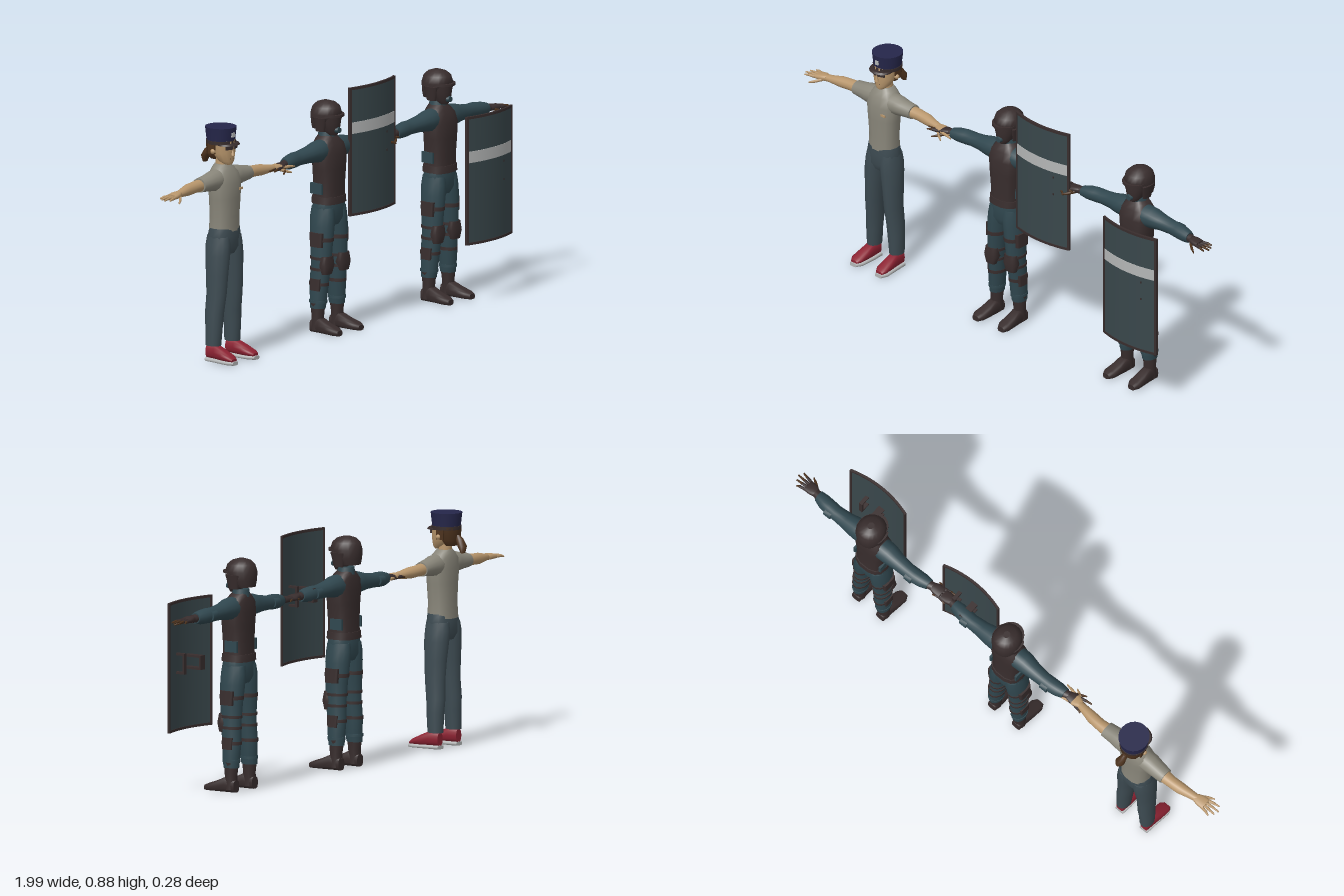
import * as THREE from 'three';

const mat = (name, color) => Object.assign(new THREE.MeshStandardMaterial({ color }), { name });
const M = {
  navy: mat('navy cloth', 0x25264a), skin: mat('skin', 0xb8966c), shirt: mat('grey shirt', 0x89867a),
  jeans: mat('slate trousers', 0x3d4b52), red: mat('red canvas', 0x8c2232), white: mat('pale grey', 0xb4b6b6),
  uniform: mat('teal uniform', 0x30474f), armor: mat('dark armour', 0x382d2d), hair: mat('brown hair', 0x4c321d),
  shield: mat('shield panel', 0x39474b),
};

function add(parent, name, geo, material, x = 0, y = 0, z = 0) {
  const m = new THREE.Mesh(geo, material);
  m.name = name;
  m.position.set(x, y, z);
  parent.add(m);
  return m;
}
const box = (w, h, d) => new THREE.BoxGeometry(w, h, d);

// Closed skin over elliptical rings [t, a, b, ra, rb] with t rising along the axis;
// a, b are the centre and ra, rb the radii on the other two axes. p < 1 squares the rings.
function loft(axis, rings, p = 1, n = 14) {
  const pos = [], idx = [];
  const put = (t, a, b) => pos.push(...(axis === 'y' ? [a, t, b] : axis === 'x' ? [t, a, b] : [a, b, t]));
  const tri = (a, b, c) => (axis === 'y' ? idx.push(a, c, b) : idx.push(a, b, c));
  const pw = (v) => Math.sign(v) * Math.abs(v) ** p;
  const ring = ([t, a, b, ra, rb]) => {
    for (let i = 0; i < n; i++) {
      const q = (i / n) * Math.PI * 2;
      put(t, a + ra * pw(Math.cos(q)), b + rb * pw(Math.sin(q)));
    }
  };
  rings.forEach(ring);
  for (let j = 0; j < rings.length - 1; j++) {
    for (let i = 0; i < n; i++) {
      const a = j * n + i, b = j * n + ((i + 1) % n);
      tri(a, b, a + n);
      tri(b, b + n, a + n);
    }
  }
  // separate cap rings keep the ends crisp
  [rings[0], rings[rings.length - 1]].forEach((r, end) => {
    const s = pos.length / 3;
    ring(r);
    put(r[0], r[1], r[2]);
    for (let i = 0; i < n; i++) {
      const a = s + i, b = s + ((i + 1) % n);
      if (end) tri(a, b, s + n); else tri(b, a, s + n);
    }
  });
  const g = new THREE.BufferGeometry();
  g.setAttribute('position', new THREE.Float32BufferAttribute(pos, 3));
  g.setIndex(idx);
  g.computeVertexNormals();
  return g;
}

// Limb along x on side s
const armLoft = (s, rings, p, n) =>
  loft('x', s > 0 ? rings : rings.map(([t, ...r]) => [-t, ...r]).reverse(), p, n);
// Upright limb at side s
const legLoft = (s, rings, p) => loft('y', rings.map(([y, x, ...r]) => [y, s * x, ...r]), p);

function hand(parent, s, palm, tips) {
  add(parent, 'palm', armLoft(s, [[0.272, 0.657, -0.024, 0.012, 0.015], [0.292, 0.657, -0.022, 0.012, 0.022],
    [0.318, 0.655, -0.021, 0.009, 0.023]], 0.8), palm);
  [0, 1, 2, 3].forEach((i) => {
    const z = -0.038 + i * 0.0115, fan = (i - 1.5) * 0.006, end = [0.35, 0.364, 0.37, 0.36][i];
    add(parent, 'finger', armLoft(s, [[0.314, 0.655, z, 0.006, 0.006], [0.338, 0.655, z + fan * 0.5, 0.0055, 0.0055]], 1, 7), palm);
    add(parent, 'fingertip', armLoft(s, [[0.338, 0.655, z + fan * 0.5, 0.005, 0.005], [end, 0.652, z + fan, 0.003, 0.003]], 1, 7), tips);
  });
  add(parent, 'thumb', armLoft(s, [[0.284, 0.652, -0.008, 0.006, 0.007], [0.305, 0.644, 0.008, 0.006, 0.006],
    [0.325, 0.638, 0.02, 0.003, 0.003]], 1, 7), tips);
}

// Hips and trousers
const legRings = (cuff) => [
  [cuff, 0.055, -0.038, 0.025, 0.031], [0.13, 0.053, -0.036, 0.028, 0.034], [0.18, 0.05, -0.036, 0.029, 0.038],
  [0.25, 0.046, -0.03, 0.03, 0.041], [0.32, 0.043, -0.03, 0.033, 0.045], [0.39, 0.038, -0.031, 0.037, 0.05],
  [0.43, 0.034, -0.032, 0.036, 0.051], [0.46, 0.032, -0.032, 0.033, 0.047]];

function lowerBody(g, material, cuff) {
  add(g, 'hips', loft('y', [[0.395, 0, -0.032, 0.03, 0.04], [0.42, 0, -0.032, 0.064, 0.05],
    [0.46, 0, -0.031, 0.066, 0.05], [0.49, 0, -0.03, 0.06, 0.047]], 0.85), material);
  for (const s of [-1, 1]) add(g, 'trouserLeg', legLoft(s, legRings(cuff)), material);
}

const torsoRings = [[0.472, 0, -0.031, 0.06, 0.049], [0.53, 0, -0.03, 0.058, 0.046], [0.6, 0, -0.029, 0.064, 0.048],
  [0.655, 0, -0.03, 0.07, 0.049], [0.69, 0, -0.034, 0.064, 0.042], [0.71, 0, -0.038, 0.042, 0.034],
  [0.722, 0, -0.04, 0.027, 0.027]];

function civilian() {
  const g = new THREE.Group();
  g.name = 'civilian';
  lowerBody(g, M.jeans, 0.06);
  add(g, 'shirtBody', loft('y', torsoRings, 0.85), M.shirt);
  add(g, 'shirtTag', box(0.022, 0.008, 0.004), M.skin, 0.036, 0.63, 0.016);
  add(g, 'neck', loft('y', [[0.7, 0, -0.04, 0.024, 0.025], [0.75, 0, -0.042, 0.022, 0.024]]), M.skin);
  for (const s of [-1, 1]) {
    add(g, 'shortSleeve', armLoft(s, [[0.035, 0.668, -0.033, 0.04, 0.038], [0.07, 0.668, -0.033, 0.037, 0.037],
      [0.1, 0.666, -0.034, 0.031, 0.033], [0.14, 0.664, -0.036, 0.026, 0.03]]), M.shirt);
    add(g, 'bareArm', armLoft(s, [[0.12, 0.664, -0.036, 0.023, 0.026], [0.17, 0.662, -0.037, 0.021, 0.022],
      [0.21, 0.66, -0.034, 0.021, 0.022], [0.25, 0.658, -0.028, 0.015, 0.017], [0.28, 0.657, -0.024, 0.012, 0.014]]), M.skin);
    hand(g, s, M.skin, M.skin);
    // canvas shoe with pale sole and toe
    add(g, 'shoeSole', loft('z', [[-0.062, s * 0.057, 0.007, 0.018, 0.007], [-0.02, s * 0.057, 0.007, 0.022, 0.007],
      [0.045, s * 0.061, 0.007, 0.026, 0.007], [0.069, s * 0.062, 0.007, 0.015, 0.007]], 0.5), M.white);
    add(g, 'shoeUpper', loft('z', [[-0.06, s * 0.057, 0.036, 0.016, 0.024], [-0.02, s * 0.057, 0.038, 0.022, 0.027],
      [0.015, s * 0.059, 0.03, 0.024, 0.02], [0.05, s * 0.061, 0.022, 0.024, 0.011], [0.064, s * 0.062, 0.017, 0.015, 0.006]], 0.8), M.red);
    add(g, 'ear', new THREE.SphereGeometry(0.01, 8, 6), M.skin, s * 0.047, 0.772, -0.045);
  }
  // face
  add(g, 'face', loft('y', [[0.722, 0, -0.012, 0.014, 0.014], [0.735, 0, -0.022, 0.029, 0.028],
    [0.765, 0, -0.036, 0.043, 0.044], [0.81, 0, -0.042, 0.047, 0.05]]), M.skin);
  add(g, 'nose', new THREE.ConeGeometry(0.008, 0.026, 6), M.skin, 0, 0.77, 0.009);
  add(g, 'mouth', box(0.022, 0.004, 0.004), M.armor, 0, 0.745, 0.003);
  for (const s of [-1, 1]) {
    add(g, 'sunglassLens', box(0.028, 0.015, 0.006), M.armor, s * 0.017, 0.787, 0.006).rotation.y = s * 0.35;
    add(g, 'sideHair', box(0.008, 0.045, 0.03), M.hair, s * 0.045, 0.785, -0.052);
  }
  // hair and ponytail
  add(g, 'backHair', loft('y', [[0.738, 0, -0.068, 0.024, 0.02], [0.76, 0, -0.067, 0.041, 0.032],
    [0.805, 0, -0.062, 0.048, 0.039]]), M.hair);
  add(g, 'ponytail', loft('y', [[0.716, 0.008, -0.126, 0.01, 0.008], [0.74, 0.004, -0.12, 0.018, 0.017],
    [0.765, 0, -0.104, 0.012, 0.016], [0.778, 0, -0.095, 0.006, 0.01]]), M.hair);
  // flared cap
  add(g, 'capCrown', loft('y', [[0.798, 0, -0.047, 0.05, 0.052], [0.815, 0, -0.047, 0.051, 0.053],
    [0.858, 0, -0.047, 0.056, 0.058]], 1, 20), M.navy);
  add(g, 'capBand', loft('y', [[0.797, 0, -0.047, 0.0525, 0.0545], [0.81, 0, -0.047, 0.053, 0.055]], 1, 20), M.armor);
  add(g, 'capPeak', loft('y', [[0.795, 0, -0.012, 0.046, 0.039], [0.801, 0, -0.016, 0.045, 0.037]], 1, 20), M.armor);
  add(g, 'capBadge', box(0.014, 0.016, 0.006), M.white, 0, 0.832, 0.009);
  return g;
}

function officer() {
  const g = new THREE.Group();
  g.name = 'officer';
  lowerBody(g, M.uniform, 0.09);
  // armoured vest, belt and collar
  add(g, 'vest', loft('y', torsoRings.map(([y, a, b, rx, rz]) => [y, a, b, rx, rz + 0.002]), 0.75), M.armor);
  add(g, 'belt', loft('y', [[0.474, 0, -0.031, 0.065, 0.055], [0.5, 0, -0.031, 0.063, 0.053]], 0.8), M.armor);
  add(g, 'collar', loft('y', [[0.705, 0, -0.04, 0.034, 0.035], [0.735, 0, -0.04, 0.028, 0.031]]), M.uniform);
  for (const s of [-1, 1]) {
    add(g, 'vestSidePanel', box(0.009, 0.04, 0.052), M.uniform, s * 0.059, 0.53, -0.04);
    // sleeve, cuff and glove
    add(g, 'sleeve', armLoft(s, [[0.045, 0.668, -0.033, 0.042, 0.04], [0.08, 0.668, -0.033, 0.038, 0.039],
      [0.12, 0.665, -0.035, 0.03, 0.032], [0.17, 0.662, -0.036, 0.026, 0.028], [0.2, 0.661, -0.035, 0.028, 0.029],
      [0.235, 0.659, -0.031, 0.026, 0.027], [0.262, 0.658, -0.027, 0.02, 0.021]]), M.uniform);
    add(g, 'elbowPad', armLoft(s, [[0.175, 0.662, -0.046, 0.018, 0.024], [0.205, 0.661, -0.046, 0.018, 0.024]], 0.8), M.uniform);
    add(g, 'gloveCuff', armLoft(s, [[0.255, 0.658, -0.028, 0.016, 0.018], [0.278, 0.657, -0.024, 0.014, 0.016]]), M.armor);
    hand(g, s, M.armor, M.hair);
    // leg straps, pouches and knee pads
    for (const [y, h, x, z, rx, rz] of [[0.345, 0.014, 0.042, -0.03, 0.037, 0.049], [0.275, 0.01, 0.045, -0.03, 0.034, 0.045],
      [0.235, 0.01, 0.047, -0.031, 0.033, 0.043], [0.18, 0.012, 0.05, -0.036, 0.031, 0.04], [0.115, 0.01, 0.054, -0.037, 0.029, 0.035]])
      add(g, 'legStrap', legLoft(s, [[y - h / 2, x, z, rx, rz], [y + h / 2, x, z, rx, rz]]), y < 0.15 ? M.uniform : M.armor);
    add(g, 'thighPouch', legLoft(s, [[0.318, 0.072, -0.03, 0.01, 0.027], [0.37, 0.07, -0.03, 0.011, 0.029]], 0.4), M.armor);
    add(g, 'calfPouch', legLoft(s, [[0.157, 0.072, -0.034, 0.01, 0.021], [0.2, 0.071, -0.034, 0.01, 0.023]], 0.4), M.armor);
    add(g, 'kneePad', legLoft(s, [[0.218, 0.049, -0.002, 0.022, 0.014], [0.25, 0.047, -0.003, 0.031, 0.021],
      [0.284, 0.046, -0.002, 0.026, 0.015]], 0.7), M.armor);
    // boot
    add(g, 'bootShaft', legLoft(s, [[0.01, 0.057, -0.038, 0.022, 0.023], [0.06, 0.056, -0.037, 0.022, 0.023],
      [0.112, 0.055, -0.038, 0.026, 0.029]]), M.armor);
    add(g, 'bootFoot', loft('z', [[-0.061, s * 0.057, 0.022, 0.018, 0.022], [-0.02, s * 0.057, 0.028, 0.023, 0.028],
      [0.015, s * 0.059, 0.02, 0.025, 0.02], [0.05, s * 0.061, 0.014, 0.026, 0.014], [0.069, s * 0.062, 0.01, 0.015, 0.01]], 0.65), M.armor);
    add(g, 'helmetEarGuard', loft('y', [[0.738, s * 0.04, -0.038, 0.009, 0.02], [0.79, s * 0.049, -0.036, 0.009, 0.03]]), M.armor);
  }
  // helmet, covered face and raised-edge visor
  add(g, 'helmet', loft('y', [[0.745, 0, -0.062, 0.04, 0.034], [0.77, 0, -0.051, 0.051, 0.049], [0.8, 0, -0.042, 0.054, 0.06],
    [0.825, 0, -0.042, 0.048, 0.052], [0.839, 0, -0.043, 0.033, 0.036], [0.846, 0, -0.044, 0.012, 0.014]], 1, 18), M.armor);
  add(g, 'mask', loft('y', [[0.722, 0, -0.014, 0.016, 0.018], [0.74, 0, -0.02, 0.031, 0.031],
    [0.77, 0, -0.026, 0.04, 0.04], [0.8, 0, -0.03, 0.045, 0.044]]), M.armor);
  add(g, 'visorRim', loft('y', [[0.792, 0, -0.026, 0.05, 0.054], [0.801, 0, -0.026, 0.05, 0.054]], 1, 18), M.armor);
  add(g, 'breather', loft('z', [[-0.01, 0, 0.744, 0.018, 0.014], [0.018, 0, 0.742, 0.012, 0.01]]), M.uniform);
  return g;
}

// Riot shield: flat strips bent so that the middle bulges forward
function riotShield() {
  const g = new THREE.Group(), W = 0.131, H = 0.237;
  g.name = 'riotShield';
  const bent = (name, w, h, d, material, x, y, z) => {
    const geo = new THREE.BoxGeometry(w, h, d, 14, 1, 1).translate(x, y, z), p = geo.attributes.position;
    for (let i = 0; i < p.count; i++) p.setZ(i, p.getZ(i) + 0.021 * (1 - (p.getX(i) / W) ** 2));
    geo.computeVertexNormals();
    add(g, name, geo, material);
  };
  bent('shieldPanel', 2 * W - 0.006, 2 * H - 0.006, 0.004, M.shield, 0, 0, 0);
  bent('shieldStripe', 2 * W - 0.014, 0.042, 0.003, M.white, 0, 0.087, 0.002);
  for (const s of [-1, 1]) {
    bent('shieldEdge', 2 * W, 0.009, 0.009, M.armor, 0, s * (H - 0.0045), 0);
    bent('shieldSide', 0.008, 2 * H, 0.009, M.armor, s * (W - 0.004), 0, 0);
  }
  // bracket handles behind
  for (const [x, w, h, back] of [[-0.003, 0.026, 0.052, -0.054], [0.062, 0.014, 0.076, -0.024]]) {
    add(g, 'handleGrip', box(w, h, 0.008), M.armor, x, 0.01, back + 0.004);
    for (const s of [-1, 1])
      add(g, 'handlePost', box(w, 0.008, 0.018 - back), M.armor, x, 0.01 + s * (h / 2 - 0.004), (0.018 + back) / 2);
  }
  return g;
}

export function createModel() {
  const model = new THREE.Group();
  model.name = 'riotSquad';
  const place = (o, x, y = 0, z = 0) => { o.position.set(x, y, z); model.add(o); };
  place(civilian(), -0.63);
  place(officer(), -0.025);
  place(officer(), 0.63 - 0.012);
  place(riotShield(), 0.183, 0.646, 0.001);
  place(riotShield(), 0.719, 0.458, 0.113);
  return model;
}
